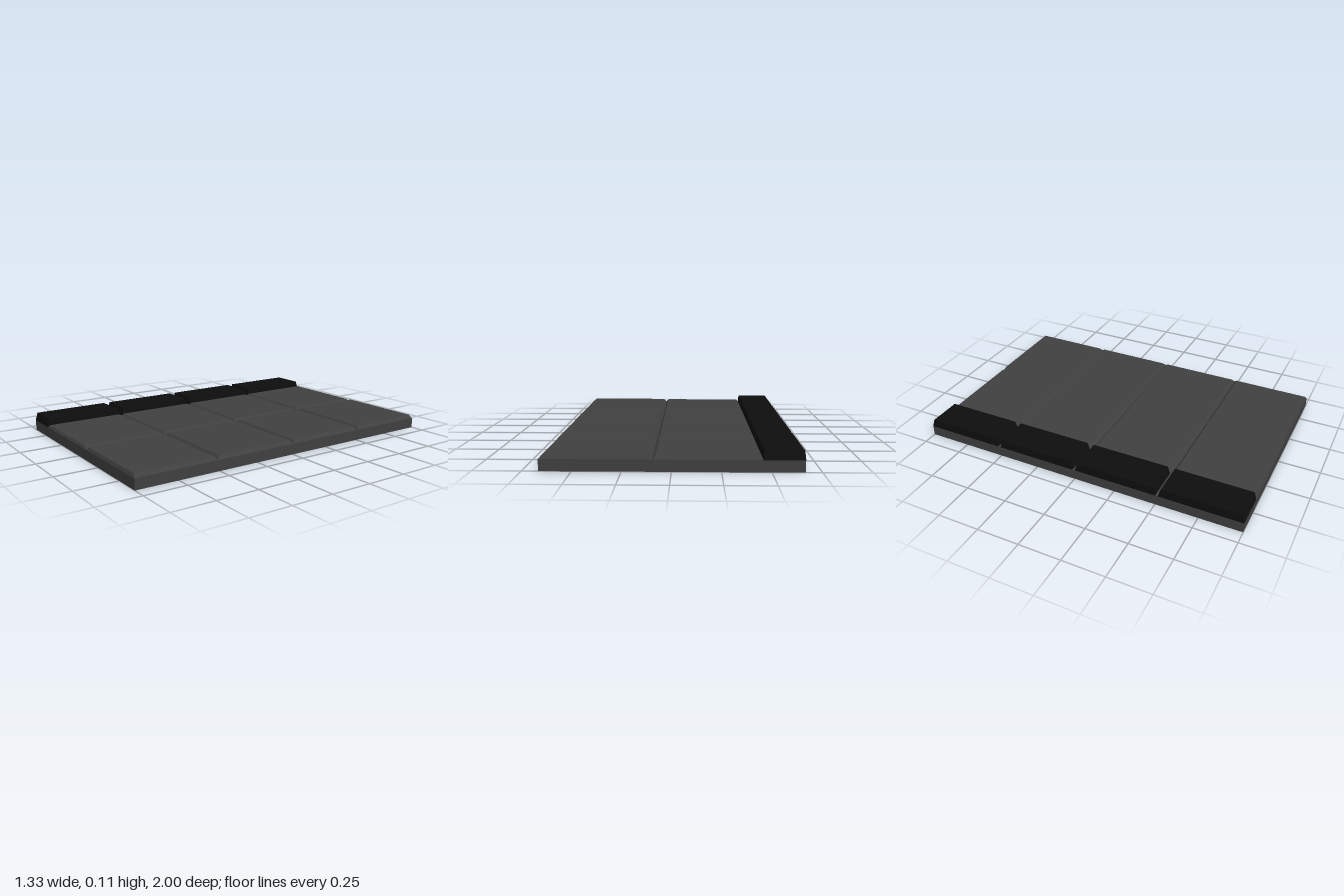
import * as THREE from 'three';

const stone = new THREE.MeshStandardMaterial({ color: 0x404040, flatShading: true });
const dark = new THREE.MeshStandardMaterial({ color: 0x0e0e0e, flatShading: true });

// Block whose top edges are drawn in by the given insets
function bevelledBlock(name, material, [x0, x1], [y0, y1], [z0, z1], [inL, inR, inBack, inFront]) {
  const geo = new THREE.BoxGeometry(1, 1, 1);
  const p = geo.attributes.position;
  for (let i = 0; i < p.count; i++) {
    const top = p.getY(i) > 0 ? 1 : 0;
    p.setXYZ(
      i,
      p.getX(i) < 0 ? x0 + inL * top : x1 - inR * top,
      top ? y1 : y0,
      p.getZ(i) < 0 ? z0 + inBack * top : z1 - inFront * top
    );
  }
  geo.computeVertexNormals();
  const mesh = new THREE.Mesh(geo, material);
  mesh.name = name;
  return mesh;
}

export function createModel() {
  const group = new THREE.Group();
  group.name = 'pavedWalkway';

  const base = 0.062;
  group.add(bevelledBlock('baseSlab', stone, [-0.666, 0.666], [0, base], [-1, 1], [0, 0, 0, 0]));

  // Four rows, each with one kerb block and two paving tiles
  const joints = [-1, -0.508, -0.004, 0.507, 1];
  for (let i = 0; i < 4; i++) {
    const back = i === 0, front = i === 3;
    const z0 = joints[i] + (back ? 0 : 0.008);
    const z1 = joints[i + 1] - (front ? 0 : 0.008);
    group.add(bevelledBlock('kerbBlock', dark, [-0.667, -0.457], [base, 0.11], [z0, z1],
      [0.005, 0.004, 0.014, 0.012]));

    const t0 = joints[i] + (back ? 0 : 0.003);
    const t1 = joints[i + 1] - (front ? 0 : 0.003);
    const inZ = [back ? 0.008 : 0.014, front ? 0.008 : 0.014];
    group.add(bevelledBlock('innerTile', stone, [-0.457, 0.098], [base - 0.001, 0.077], [t0, t1],
      [0.012, 0.018, ...inZ]));
    group.add(bevelledBlock('outerTile', stone, [0.1, 0.662], [base - 0.001, 0.08], [t0, t1],
      [0.019, 0.016, ...inZ]));
  }
  return group;
}
